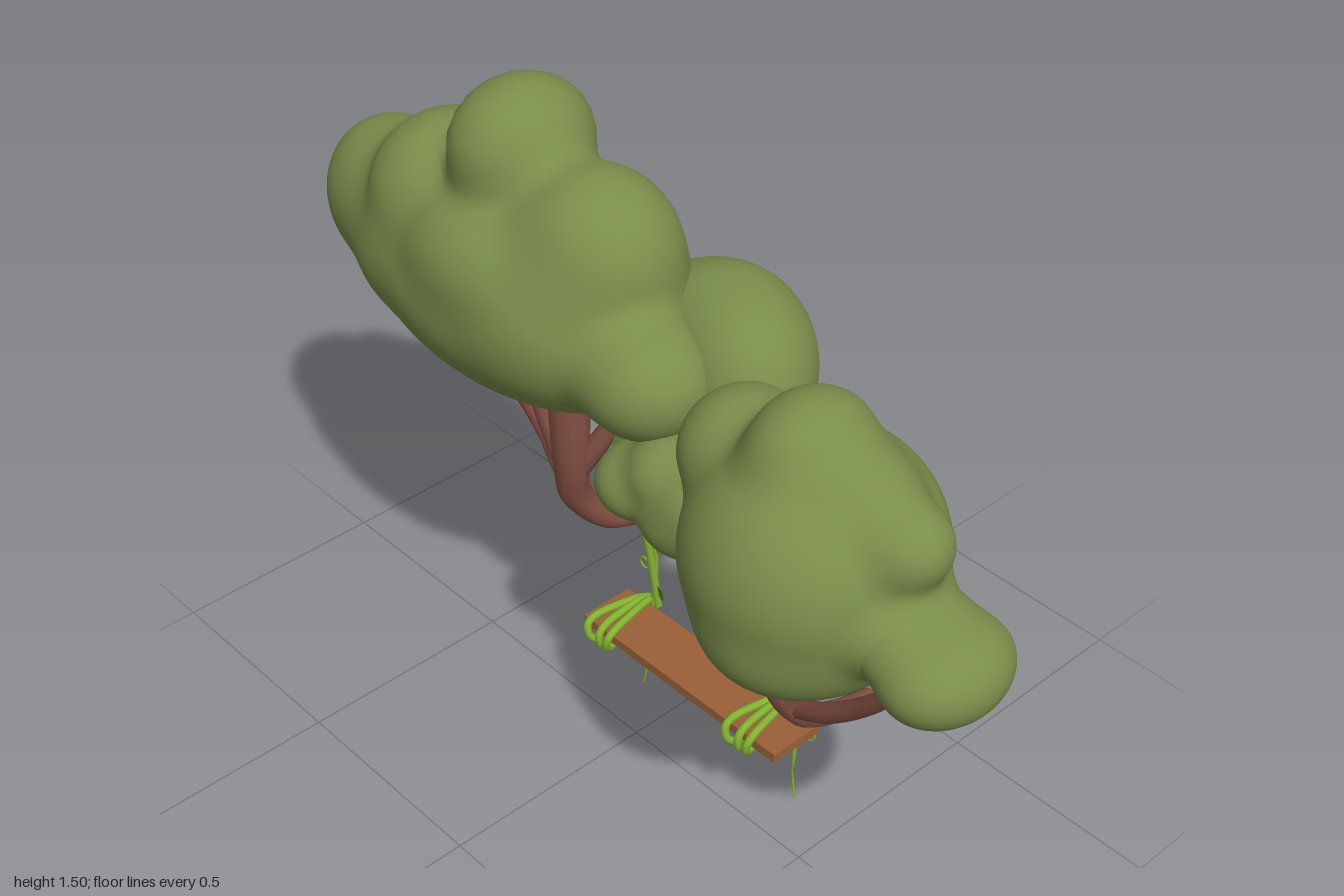
import * as THREE from 'three';
import { mergeVertices } from 'three/addons/utils/BufferGeometryUtils.js';

const V = (p) => new THREE.Vector3(...p);

// Smoothly blended distance to a list of ellipsoids [x, y, z, rx, ry, rz]
function blend(p, blobs, k) {
  let d = 10;
  for (const [x, y, z, a, b, c] of blobs) {
    const X = p.x - x, Y = p.y - y, Z = p.z - z;
    const k0 = Math.hypot(X / a, Y / b, Z / c);
    const k1 = Math.hypot(X / (a * a), Y / (b * b), Z / (c * c)) || 1;
    const e = k0 * (k0 - 1) / k1;
    const h = Math.max(k - Math.abs(d - e), 0) / k;
    d = Math.min(d, e) - h * h * k * 0.25;
  }
  return d;
}

// Leafy canopy: a sphere shrunk inward onto the blended ellipsoids
function canopy(centre, stretch, blobs, k = 0.05) {
  let g = new THREE.IcosahedronGeometry(1, 22);
  g.deleteAttribute('uv');
  g.deleteAttribute('normal');
  g = mergeVertices(g, 1e-5);
  const pos = g.attributes.position, c = V(centre), s = V(stretch);
  const dir = new THREE.Vector3(), p = new THREE.Vector3();
  for (let i = 0; i < pos.count; i++) {
    dir.fromBufferAttribute(pos, i).multiply(s).normalize();
    let t = 1;
    for (let n = 0; n < 60 && t > 0.02; n++) {
      const d = blend(p.copy(c).addScaledVector(dir, t), blobs, k);
      if (d < 0.0005) break;
      t -= d * 0.7;
    }
    p.copy(c).addScaledVector(dir, t);
    pos.setXYZ(i, p.x, p.y, p.z);
  }
  g.computeVertexNormals();
  return g;
}

// Tapered tube along a curve; the first and last rings shrink to a point to close the ends
function taper(points, r0, r1, n = 24, sides = 10, closed = false) {
  const curve = new THREE.CatmullRomCurve3(points.map(V), closed);
  const g = new THREE.TubeGeometry(curve, n, 1, sides, closed);
  const pos = g.attributes.position, nor = g.attributes.normal;
  for (let i = 0; i <= n; i++) {
    const u = closed ? i / n : THREE.MathUtils.clamp((i - 1) / (n - 2), 0, 1);
    const c = curve.getPointAt(u);
    const r = !closed && (i === 0 || i === n) ? 0 : r0 + (r1 - r0) * u;
    for (let j = 0; j <= sides; j++) {
      const q = i * (sides + 1) + j;
      pos.setXYZ(q, c.x + nor.getX(q) * r, c.y + nor.getY(q) * r, c.z + nor.getZ(q) * r);
    }
  }
  return g;
}

export function createModel() {
  const root = new THREE.Group();
  const mat = (name, color, side = THREE.FrontSide) => {
    const m = new THREE.MeshStandardMaterial({ color, side });
    m.name = name;
    return m;
  };
  const foliage = mat('foliage green', 0x7b8d4b);
  const bark = mat('bark brown', 0x855144);
  const plank = mat('plank brown', 0x9a6137);
  const vineMat = mat('vine green', 0x86b432);
  const leafMat = mat('leaf green', 0x6b8d3e, THREE.DoubleSide);
  const add = (name, geo, m, parent = root) => {
    const mesh = new THREE.Mesh(geo, m);
    mesh.name = name;
    parent.add(mesh);
    return mesh;
  };

  // Canopies
  add('mainCanopy', canopy([-0.32, 1.08, 0.03], [2, 1, 0.9], [
    [-0.3, 1.06, 0.03, 0.42, 0.215, 0.235],
    [-0.15, 1.1, 0.02, 0.23, 0.19, 0.225],
    [-0.28, 1.17, 0.025, 0.25, 0.15, 0.235],
    [-0.31, 1.36, 0.015, 0.13, 0.135, 0.155],
    [-0.09, 1.21, 0.02, 0.18, 0.18, 0.165],
    [-0.51, 1.18, 0.035, 0.16, 0.165, 0.175],
    [-0.55, 1.05, 0.035, 0.18, 0.16, 0.18],
    [-0.69, 1.08, 0.03, 0.18, 0.175, 0.145],
    [0.1, 1.05, 0.07, 0.14, 0.12, 0.13],
  ]), foliage);
  add('lowerCanopy', canopy([-0.65, 0.84, -0.17], [2, 1, 1], [
    [-0.7, 0.85, -0.18, 0.2, 0.15, 0.165],
    [-0.88, 0.85, -0.14, 0.12, 0.12, 0.12],
    [-0.44, 0.835, -0.155, 0.19, 0.11, 0.115],
    [-0.57, 0.785, -0.17, 0.15, 0.115, 0.13],
    [-0.74, 0.785, -0.19, 0.15, 0.115, 0.135],
    [-0.62, 0.91, -0.17, 0.16, 0.11, 0.13],
  ]), foliage);
  add('backCanopy', canopy([0.04, 1, -0.13], [1.6, 1, 0.8], [
    [0.12, 1.05, -0.13, 0.18, 0.155, 0.15],
    [0.22, 1.02, -0.08, 0.13, 0.16, 0.12],
    [0.02, 0.98, -0.14, 0.2, 0.15, 0.14],
    [-0.1, 0.94, -0.15, 0.18, 0.13, 0.11],
    [-0.24, 0.95, -0.15, 0.12, 0.11, 0.11],
    [-0.02, 0.89, -0.11, 0.12, 0.09, 0.1],
  ], 0.07), foliage);
  const neck = [0.79, 0.89, 0.09, 0.1, 0.09, 0.12];
  add('rightCanopy', canopy([0.57, 0.93, 0.09], [1.2, 1, 0.9], [
    [0.57, 0.93, 0.09, 0.245, 0.24, 0.25],
    [0.58, 0.81, 0.09, 0.195, 0.145, 0.235],
    [0.55, 1.135, 0.09, 0.11, 0.115, 0.13],
    [0.37, 1.03, 0.07, 0.12, 0.12, 0.13],
    [0.66, 1.09, 0.08, 0.1, 0.09, 0.1],
    [0.77, 1.05, 0.08, 0.085, 0.08, 0.085],
    neck,
  ], 0.045), foliage);
  add('endCanopy', canopy([0.86, 0.865, 0.09], [1, 1, 1], [
    [0.89, 0.855, 0.09, 0.108, 0.093, 0.138],
    neck,
  ]), foliage);
  add('sideCanopy', canopy([0.25, 0.88, 0.1], [1.4, 1, 1], [
    [0.31, 0.88, 0.09, 0.12, 0.11, 0.12],
    [0.22, 0.91, 0.1, 0.09, 0.08, 0.1],
    [0.15, 0.86, 0.12, 0.09, 0.075, 0.095],
    [0.27, 0.84, 0.12, 0.09, 0.075, 0.09],
  ], 0.03), foliage);

  // Trunks and branches
  const tree = (name, limbs) => {
    const g = new THREE.Group();
    g.name = name;
    limbs.forEach(([pts, r0, r1], i) => add(i ? 'branch' : 'trunk', taper(pts, r0, r1), bark, g));
    root.add(g);
  };
  tree('mainTree', [
    [[[-0.2, 0.405, -0.18], [-0.2, 0.445, -0.1], [-0.21, 0.54, -0.02], [-0.19, 0.66, 0.01], [-0.18, 0.92, 0.02]], 0.026, 0.05],
    [[[-0.2, 0.55, -0.02], [-0.3, 0.62, -0.04], [-0.45, 0.655, -0.08], [-0.64, 0.648, -0.11], [-0.78, 0.67, -0.13], [-0.86, 0.78, -0.14]], 0.03, 0.018],
    [[[-0.22, 0.57, -0.02], [-0.32, 0.63, -0.05], [-0.4, 0.72, -0.09], [-0.45, 0.82, -0.12]], 0.032, 0.026],
    [[[-0.2, 0.58, -0.01], [-0.25, 0.68, 0], [-0.28, 0.77, 0.01], [-0.28, 0.9, 0.02]], 0.028, 0.02],
    [[[-0.19, 0.62, 0], [-0.13, 0.74, -0.04], [-0.09, 0.84, -0.08], [-0.07, 0.9, -0.1]], 0.026, 0.018],
  ]);
  tree('rightTree', [
    [[[0.505, 0.343, -0.18], [0.505, 0.375, -0.07], [0.51, 0.45, 0.04], [0.49, 0.58, 0.1], [0.45, 0.72, 0.1], [0.42, 0.84, 0.09]], 0.022, 0.035],
    [[[0.51, 0.47, 0.05], [0.6, 0.53, 0.07], [0.7, 0.62, 0.08], [0.78, 0.72, 0.09], [0.83, 0.84, 0.09]], 0.023, 0.016],
    [[[0.51, 0.5, 0.07], [0.53, 0.6, 0.08], [0.56, 0.68, 0.08], [0.6, 0.8, 0.09]], 0.027, 0.022],
  ]);

  // Swing seat
  add('seat', new THREE.BoxGeometry(0.58, 0.022, 0.13), plank).position.set(0.15, 0.258, -0.04);

  // Small pointed leaf
  const outline = new THREE.Shape();
  outline.moveTo(0, 0);
  outline.bezierCurveTo(0.026, 0.014, 0.02, 0.04, 0, 0.062);
  outline.bezierCurveTo(-0.02, 0.04, -0.026, 0.014, 0, 0);
  const leafGeo = new THREE.ShapeGeometry(outline, 6);

  // Curled tendril
  const curl = [];
  for (let i = 0; i <= 12; i++) {
    const a = i * 0.55, r = 0.022 - i * 0.0012;
    curl.push([0.032 - Math.cos(a) * r, Math.sin(a) * r, i * 0.0008]);
  }
  const curlGeo = taper([[0, -0.022, 0], ...curl], 0.004, 0.002, 40, 5);

  // Hanging vines with leaves [place, lean, turn], tendrils and knots round the seat
  const vine = (name, path, knotX, leaves) => {
    const g = new THREE.Group();
    g.name = name;
    root.add(g);
    const split = 4;
    add('rope', taper(path.slice(0, split + 1), 0.011, 0.009, 30, 8), vineMat, g);
    add('strand', taper(path.slice(0, split + 1).map(([x, y, z], i) =>
      [x + (i % 2 ? 0.008 : -0.008), y, z + (i % 2 ? -0.008 : 0.008)]), 0.006, 0.006, 30, 6), vineMat, g);
    add('tail', taper(path.slice(split), 0.007, 0.002, 24, 6), vineMat, g);
    const curve = new THREE.CatmullRomCurve3(path.map(V));
    for (const [u, lean, turn] of leaves) {
      const leaf = add('leaf', leafGeo, leafMat, g);
      leaf.position.copy(curve.getPoint(u));
      leaf.rotation.set(0.15, turn, lean, 'YXZ');
    }
    [0.25, 0.42, 0.62].forEach((u, i) => {
      const t = add('tendril', curlGeo, vineMat, g);
      t.position.copy(curve.getPoint(u));
      t.rotation.y = i === 2 ? 0.2 : Math.PI;
    });
    // Loops crossing each other at a slant
    for (let k = -1; k <= 1; k++) {
      const loop = [];
      for (let i = 0; i < 16; i++) {
        const a = i / 16 * Math.PI * 2, c = Math.cos(a), s = Math.sin(a);
        const z = Math.sign(c) * Math.abs(c) ** 0.6 * 0.082, y = Math.sign(s) * Math.abs(s) ** 0.7 * 0.032;
        loop.push([knotX + k * 0.013 + z * 0.2 * (k || 0.4) + y * 0.25 * k, 0.26 + y, -0.036 + z]);
      }
      add('knotLoop', taper(loop, 0.009, 0.009, 48, 7, true), vineMat, g);
    }
  };
  vine('rightVine', [[-0.09, 0.88, -0.05], [-0.078, 0.74, -0.05], [-0.07, 0.58, -0.07], [-0.062, 0.43, -0.095], [-0.055, 0.27, -0.115],
    [-0.095, 0.2, -0.118], [-0.085, 0.13, -0.112], [-0.09, 0.07, -0.115], [-0.1, 0.01, -0.115]], -0.075,
  [[0.12, 2.2, 0.4], [0.32, 2.4, -0.5], [0.38, -0.9, 0.6], [0.47, -0.8, -0.4]]);
  vine('leftVine', [[0.35, 0.92, -0.05], [0.352, 0.74, -0.05], [0.35, 0.58, -0.07], [0.357, 0.43, -0.095], [0.355, 0.27, -0.115],
    [0.368, 0.2, -0.118], [0.37, 0.13, -0.112], [0.366, 0.07, -0.115], [0.376, 0, -0.115]], 0.35,
  [[0.12, 2.2, -0.6], [0.26, -2.4, 0.9], [0.4, 2.1, 0.3], [0.48, -0.9, 0.3], [0.81, -2.5, -0.8]]);

  return root;
}
